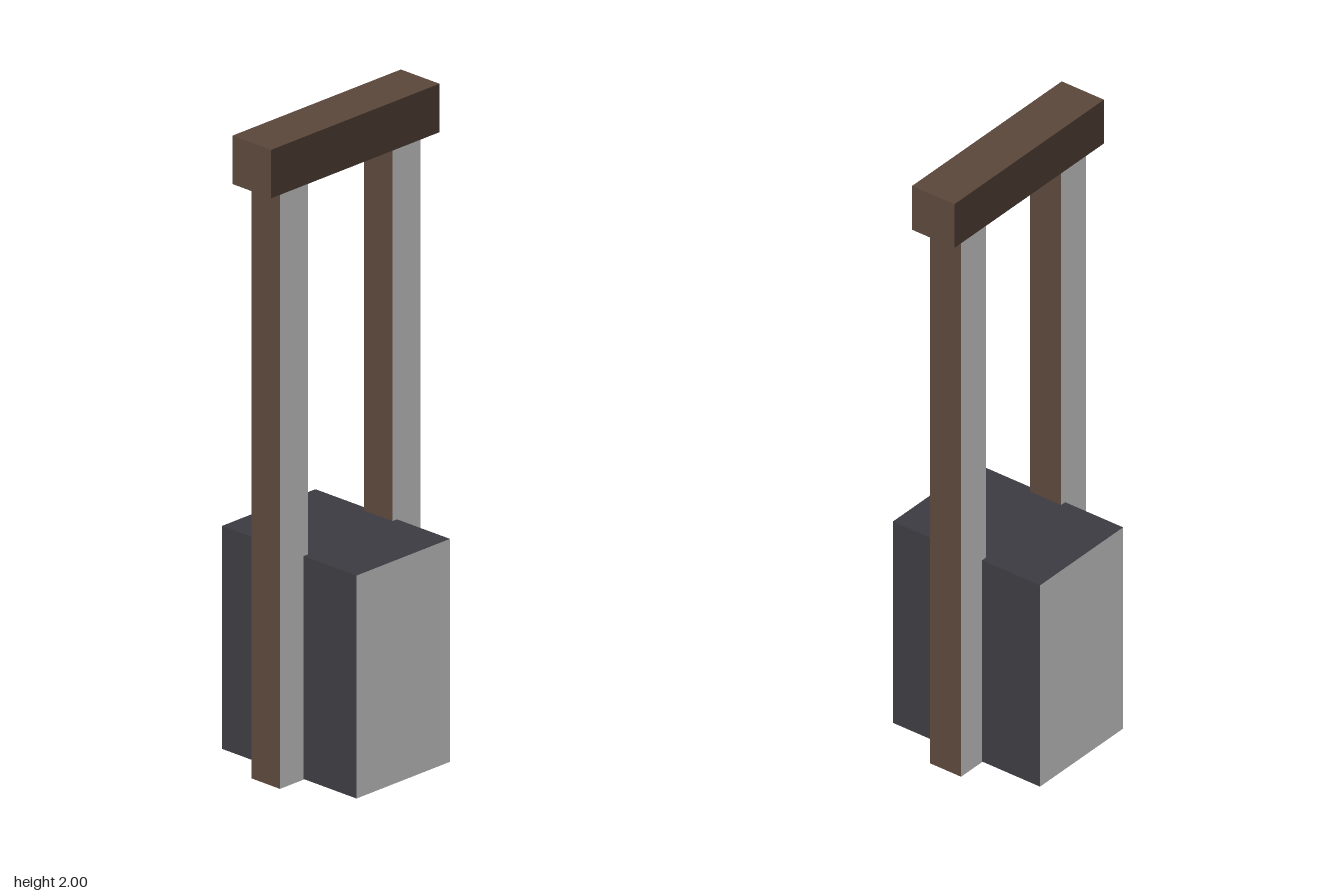
import * as THREE from 'three';

const material = (name, color) => {
  const m = new THREE.MeshStandardMaterial({ color });
  m.name = name;
  return m;
};

export function createModel() {
  const model = new THREE.Group();
  model.name = 'postFrame';
  const brown = material('dark wood', 0x5a473b);
  const dark = material('charcoal', 0x3c3b41);
  const grey = material('pale grey', 0xe7e7e7);

  // Box from its bottom height y0 to its top y1, centred on x = 0
  const addBox = (name, w, y0, y1, d, z, mats) => {
    const mesh = new THREE.Mesh(new THREE.BoxGeometry(w, y1 - y0, d), mats);
    mesh.name = name;
    mesh.position.set(0, (y0 + y1) / 2, z);
    model.add(mesh);
  };

  // Pale flanks on +x and -x, the main colour on the other four faces
  const paleSided = (main) => [grey, grey, main, main, main, main];

  // Base block
  addBox('baseBlock', 0.536, 0.002, 0.692, 0.384, 0, paleSided(dark));

  // Two posts
  for (const side of [1, -1]) {
    addBox(side > 0 ? 'frontPost' : 'backPost', 0.114, 0, 1.85, 0.116, side * 0.231, paleSided(brown));
  }

  // Crossbeam on top of the posts
  addBox('crossbeam', 0.154, 1.85, 2, 0.692, 0, brown);

  return model;
}
